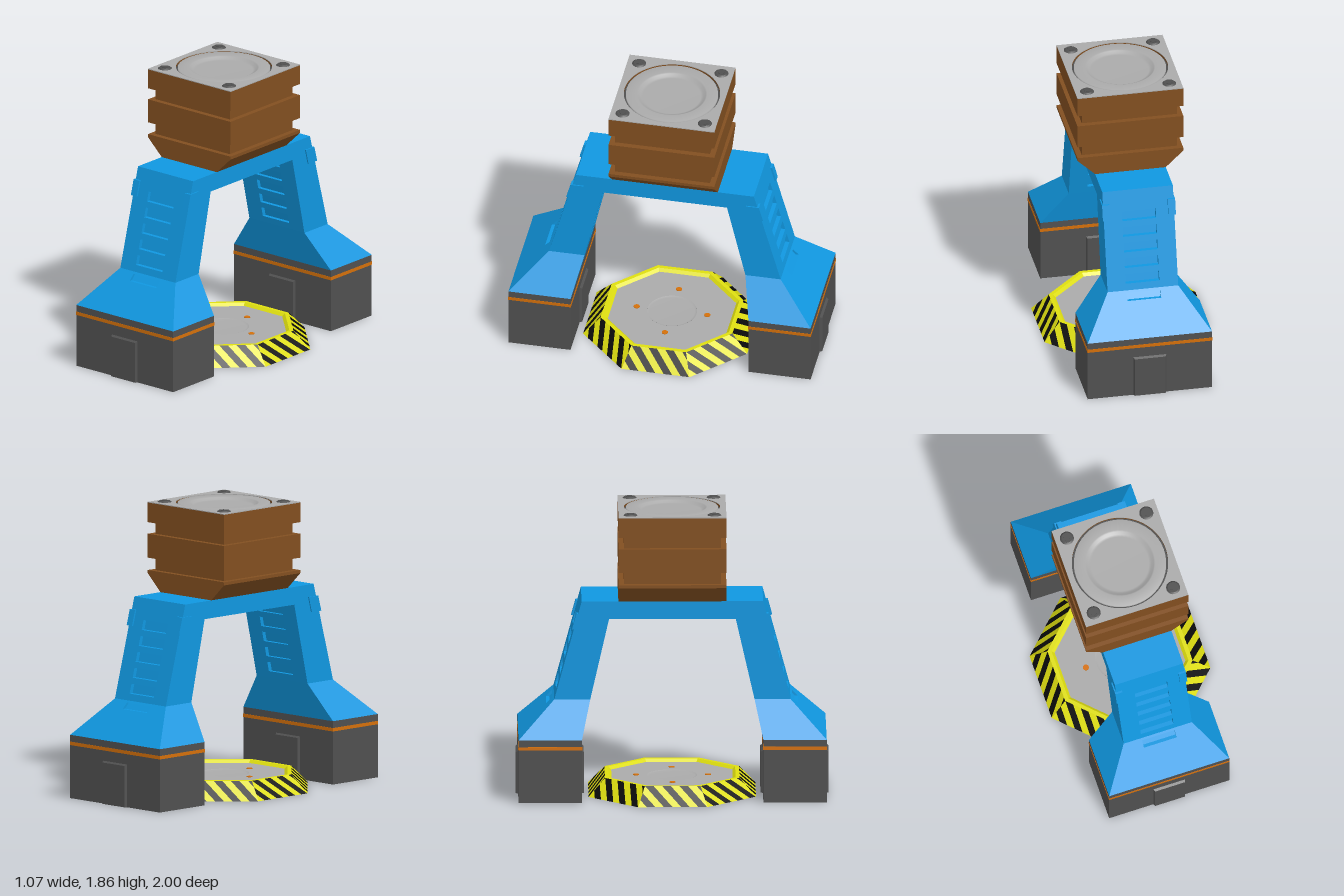
import * as THREE from 'three';

const flat = (name, color, side = THREE.FrontSide) => {
  const m = new THREE.MeshStandardMaterial({ color, side });
  m.name = name;
  return m;
};

export function createModel() {
  const blue = flat('blue paint', 0x1097e0);
  const brown = flat('brown metal', 0x824f20);
  const dark = flat('dark grey', 0x505050);
  const grey = flat('light grey', 0xaaaaaa);
  const orange = flat('orange', 0xd4700a);
  const yellow = flat('yellow', 0xdede10, THREE.DoubleSide);
  const black = flat('black', 0x0a0a0a, THREE.DoubleSide);

  const model = new THREE.Group();
  model.name = 'archMachine';
  const add = (parent, name, geo, mat, x = 0, y = 0, z = 0) => {
    const m = new THREE.Mesh(geo, mat);
    m.name = name;
    m.position.set(x, y, z);
    parent.add(m);
    return m;
  };
  const box = (w, h, d) => new THREE.BoxGeometry(w, h, d);
  const poly = (pts) => new THREE.Shape(pts.map((p) => new THREE.Vector2(...p)));
  const rect = (x0, x1, y0, y1) => poly([[x0, y0], [x1, y0], [x1, y1], [x0, y1]]);
  const circle = (r) => new THREE.Path().absarc(0, 0, r, 0, Math.PI * 2, true);
  const lathe = (pts, seg, start = 0) =>
    new THREE.LatheGeometry(pts.map((p) => new THREE.Vector2(...p)), seg, start);

  // ---- Legs: outlines extruded between a sloping inner and outer face
  const lerp = THREE.MathUtils.lerp;
  const legIn = (y) => lerp(0.525, 0.405, (y - 0.64) / 0.525);
  const legOut = (y) => lerp(0.755, 0.58, (y - 0.64) / 0.64);
  const flareIn = (y) => lerp(0.58, 0.525, (y - 0.41) / 0.23);
  const flareOut = (y) => lerp(0.985, 0.755, (y - 0.41) / 0.23);
  const sloped = (shape, t0, t1, inner, outer) => {
    const g = new THREE.ExtrudeGeometry(shape, { depth: 1, bevelEnabled: false, curveSegments: 1 });
    const p = g.attributes.position;
    for (let i = 0; i < p.count; i++) {
      const y = p.getY(i);
      p.setZ(i, lerp(inner(y), outer(y), lerp(t0, t1, p.getZ(i))));
    }
    g.computeVertexNormals();
    return g;
  };
  const legShape = () => rect(-0.23, 0.23, 0.64, 1.28);
  const flareShape = () => poly([[-0.405, 0.41], [0.405, 0.41], [0.23, 0.64], [-0.23, 0.64]]);
  const slotted = () => {
    const s = legShape();
    for (let i = 0; i < 5; i++) {
      const y = 1.145 - i * 0.1;
      s.holes.push(rect(-0.11, 0.11, y - 0.062, y));
    }
    return s;
  };
  const flareSlotted = flareShape();
  flareSlotted.holes.push(rect(-0.11, 0.11, 0.59, 0.628));

  // Access hatch with chamfered front edges
  const hatch = () => {
    const g = box(0.22, 0.28, 0.02).toNonIndexed();
    const p = g.attributes.position;
    for (let i = 0; i < p.count; i++) {
      if (p.getZ(i) < 0) continue;
      p.setX(i, p.getX(i) * 0.91);
      if (p.getY(i) > 0) p.setY(i, 0.128);
    }
    g.computeVertexNormals();
    return g;
  };

  for (const turn of [0, Math.PI]) {
    const side = new THREE.Group();
    side.name = turn ? 'backLeg' : 'frontLeg';
    side.rotation.y = turn;
    model.add(side);
    add(side, 'legCore', sloped(legShape(), 0.12, 0.88, legIn, legOut), blue);
    add(side, 'legOuterVents', sloped(slotted(), 0.88, 1, legIn, legOut), blue);
    add(side, 'legInnerVents', sloped(slotted(), 0, 0.12, legIn, legOut), blue);
    add(side, 'flareCore', sloped(flareShape(), 0, 0.92, flareIn, flareOut), blue);
    add(side, 'flareVent', sloped(flareSlotted, 0.92, 1, flareIn, flareOut), blue);
    for (const s of [-1, 1]) {
      const [a, b] = s > 0 ? [0.19, 0.238] : [-0.238, -0.19];
      add(side, 'cornerClip', sloped(rect(a, b, 1.1, 1.2), 0.65, 1.06, legIn, legOut), blue);
    }
    // Foot block with orange band and hatches
    add(side, 'foot', box(0.81, 0.41, 0.405), dark, 0, 0.205, 0.7825);
    add(side, 'footBand', box(0.814, 0.022, 0.409), orange, 0, 0.355, 0.7825);
    add(side, 'outerHatch', hatch(), dark, 0, 0.14, 0.99);
    add(side, 'innerHatch', hatch(), dark, 0, 0.14, 0.575).rotation.y = Math.PI;
  }
  add(model, 'bridge', box(0.46, 0.115, 0.82), blue, 0, 1.2225, 0);

  // ---- Brown press head
  const head = new THREE.Group();
  head.name = 'pressHead';
  model.add(head);
  const taper = poly([[-0.23, 1.28], [0.23, 1.28], [0.345, 1.39], [0.345, 1.41], [-0.345, 1.41], [-0.345, 1.39]]);
  add(head, 'taperedBase', new THREE.ExtrudeGeometry(taper, { depth: 0.69, bevelEnabled: false }), brown, 0, 0, -0.345);
  for (const [y0, y1, h] of [[1.41, 1.49, 0.31], [1.49, 1.645, 0.345], [1.645, 1.72, 0.31], [1.72, 1.815, 0.345]])
    add(head, 'headBand', box(h * 2, y1 - y0, h * 2), brown, 0, (y0 + y1) / 2, 0);
  for (const [name, mat, y, depth] of [['headRim', brown, 1.815, 0.032], ['topPlate', grey, 1.847, 0.005]]) {
    const s = rect(-0.345, 0.345, -0.345, 0.345);
    s.holes.push(circle(0.308));
    const g = new THREE.ExtrudeGeometry(s, { depth, bevelEnabled: false, curveSegments: 48 });
    add(head, name, g, mat, 0, y, 0).rotation.x = -Math.PI / 2;
  }
  add(head, 'grooveFloor', lathe([[0.31, 1.835], [0.294, 1.835]], 48), dark);
  add(head, 'topDish', lathe([[0.296, 1.835], [0.295, 1.85], [0.225, 1.85], [0.215, 1.846], [0.2, 1.834], [0.185, 1.83], [0, 1.83]], 48), grey);
  for (const x of [-0.268, 0.268])
    for (const z of [-0.268, 0.268]) {
      add(head, 'bolt', new THREE.CylinderGeometry(0.035, 0.048, 0.01, 16), dark, x, 1.855, z);
      add(head, 'boltHead', new THREE.CylinderGeometry(0.022, 0.022, 0.004, 6), dark, x, 1.8605, z);
    }

  // ---- Octagonal pad with hazard stripes
  const pad = new THREE.Group();
  pad.name = 'pad';
  model.add(pad);
  const eighth = Math.PI / 8;
  const R = (apothem) => apothem / Math.cos(eighth);

  // Keep the part of a polygon where f >= 0
  const clip = (pts, f) => pts.flatMap((p, i) => {
    const q = pts[(i + 1) % pts.length];
    const a = f(p), b = f(q);
    const out = a >= 0 ? [p] : [];
    if ((a >= 0) !== (b >= 0)) out.push([0, 1].map((k) => lerp(p[k], q[k], a / (a - b))));
    return out;
  });
  const outer = 0.535, top = 0.43, height = 0.115, pitch = 0.11;
  const wb = outer * Math.tan(eighth), wt = top * Math.tan(eighth);
  const wall = [[-wb, 0], [wb, 0], [wt, 1], [-wt, 1]];
  const stripes = { yellow: [], black: [] };
  for (let k = -5; k < 12; k++) {
    const lo = -wb + (k * pitch) / 2, hi = lo + pitch / 2;
    const along = ([u, v]) => u + 0.12 * v;
    const part = clip(clip(wall, (p) => along(p) - lo), (p) => hi - along(p));
    const list = k % 2 ? stripes.black : stripes.yellow;
    for (let i = 1; i + 1 < part.length; i++)
      for (const [u, v] of [part[0], part[i], part[i + 1]])
        list.push(u, v * height, lerp(outer, top, v));
  }
  for (const [name, mat] of [['yellow', yellow], ['black', black]]) {
    const g = new THREE.BufferGeometry();
    g.setAttribute('position', new THREE.Float32BufferAttribute(stripes[name], 3));
    g.computeVertexNormals();
    for (let i = 0; i < 8; i++) add(pad, name + 'Stripes', g, mat).rotation.y = i * 2 * eighth;
  }
  const rim = lathe([[R(top), height], [R(0.405), height], [R(0.385), 0.095]], 8, eighth).toNonIndexed();
  rim.computeVertexNormals();
  add(pad, 'padRim', rim, yellow);

  // Floor with a shallow central dish, underside and lamps
  const oct = poly([...Array(8).keys()].map((i) => {
    const a = eighth * (2 * i + 1);
    return [R(0.39) * Math.cos(a), R(0.39) * Math.sin(a)];
  }));
  oct.holes.push(circle(0.16));
  add(pad, 'padFloor', new THREE.ShapeGeometry(oct, 32), grey, 0, 0.097, 0).rotation.x = -Math.PI / 2;
  add(pad, 'padDish', lathe([[0.16, 0.097], [0.145, 0.091], [0, 0.091]], 48), grey);
  add(pad, 'padUnderside', new THREE.CylinderGeometry(R(0.405), R(0.405), 0.008, 8, 1, false, eighth), dark, 0, 0.085, 0);
  for (let i = 0; i < 4; i++) {
    const a = (i * Math.PI) / 2;
    add(pad, 'padLamp', new THREE.CylinderGeometry(0.02, 0.02, 0.022, 12), orange, 0.23 * Math.cos(a), 0.09, 0.23 * Math.sin(a));
  }
  return model;
}
